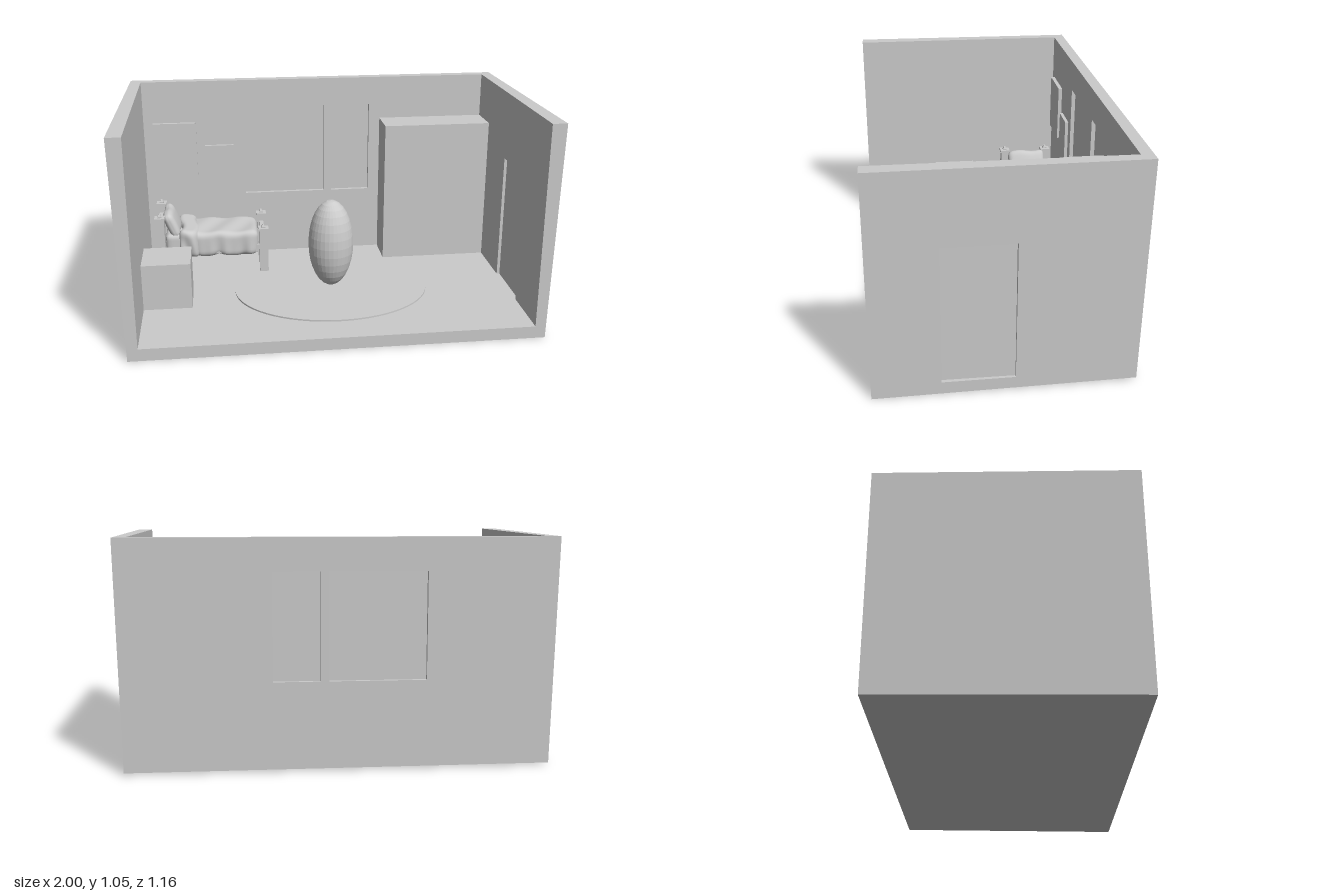
import * as THREE from 'three';
import { mergeVertices } from 'three/addons/utils/BufferGeometryUtils.js';

const flat = new THREE.MeshStandardMaterial({ color: 0xcccccc, flatShading: true });
const smooth = new THREE.MeshStandardMaterial({ color: 0xcccccc });

function add(parent, name, geometry, material = flat) {
  const mesh = new THREE.Mesh(geometry, material);
  mesh.name = name;
  parent.add(mesh);
  return mesh;
}

// Box given by its limits on each axis
function box(parent, name, [x0, x1], [y0, y1], [z0, z1]) {
  const g = new THREE.BoxGeometry(x1 - x0, y1 - y0, z1 - z0);
  g.translate((x0 + x1) / 2, (y0 + y1) / 2, (z0 + z1) / 2);
  return add(parent, name, g);
}

function rectPath(path, x0, x1, y0, y1) {
  path.moveTo(x0, y0).lineTo(x1, y0).lineTo(x1, y1).lineTo(x0, y1).closePath();
  return path;
}

// Upright slab with rectangular openings, extruded along z
function wall(x0, x1, height, depth, openings) {
  const shape = rectPath(new THREE.Shape(), x0, x1, 0, height);
  openings.forEach((o) => shape.holes.push(rectPath(new THREE.Path(), ...o)));
  return new THREE.ExtrudeGeometry(shape, { depth, bevelEnabled: false });
}

// Lean the outer faces of the room slightly; inner faces stay square
function skew(g) {
  const p = g.attributes.position;
  for (let i = 0; i < p.count; i++) {
    const x = p.getX(i), y = p.getY(i), z = p.getZ(i);
    if (Math.abs(x) > 0.95) {
      p.setX(i, Math.sign(x) * (0.965 + 0.02 * (y / 1.05) + 0.015 * ((z + 0.585) / 1.165)));
    }
    if (y < 0.001) p.setY(i, 0.01 * (0.58 - z) / 1.165);
    if (z < -0.56) p.setZ(i, -0.575 - 0.01 * (y / 1.05));
  }
  g.computeVertexNormals();
  return g;
}

// Rounded cushion-like block, its surface moved by an optional rule
function softBlock(w, h, d, r, rule = () => {}) {
  let g = new THREE.BoxGeometry(w, h, d, 28, 12, 24);
  g.deleteAttribute('normal');
  g.deleteAttribute('uv');
  g = mergeVertices(g);
  const p = g.attributes.position, v = new THREE.Vector3(), core = new THREE.Vector3();
  const lim = new THREE.Vector3(w / 2 - r, h / 2 - r, d / 2 - r);
  for (let i = 0; i < p.count; i++) {
    v.fromBufferAttribute(p, i);
    core.copy(v).clamp(lim.clone().negate(), lim);
    v.sub(core).setLength(r).add(core);
    rule(v);
    p.setXYZ(i, v.x, v.y, v.z);
  }
  g.computeVertexNormals();
  return g;
}

function buildRoom() {
  const room = new THREE.Group();
  room.name = 'room';
  const windows = [[-0.39, 0.05, 0.41, 0.9], [0.09, 0.3, 0.41, 0.9]];
  const back = wall(-0.98, 0.98, 1.05, 0.055, windows).translate(0, 0, -0.585);
  add(room, 'backWall', skew(back));
  const side = (openings, x) =>
    skew(wall(-0.58, 0.53, 1.05, 0.055, openings).rotateY(Math.PI / 2).translate(x, 0, 0));
  add(room, 'leftWall', side([[-0.28, 0.04, 0.06, 0.71]], 0.93));
  add(room, 'rightWall', side([], -0.985));
  const floor = new THREE.BoxGeometry(1.86, 0.06, 1.11).translate(0, 0.03, 0.025);
  add(room, 'floor', skew(floor));
  // Panes and door sit inside their openings
  windows.forEach(([x0, x1, y0, y1]) =>
    box(room, 'windowPane', [x0, x1], [y0, y1], [-0.562, -0.55]));
  box(room, 'door', [0.945, 0.96], [0.06, 0.71], [-0.04, 0.28]);
  return room;
}

function buildBed() {
  const bed = new THREE.Group();
  bed.name = 'bed';
  const cz = -0.355;

  // Four posts with stepped caps and small knobs
  for (const [x, top] of [[-0.855, 0.38], [-0.312, 0.3]]) {
    for (const z of [cz - 0.121, cz + 0.121]) {
      const post = new THREE.Group();
      post.name = 'bedPost';
      bed.add(post);
      const block = (name, half, y0, y1) =>
        box(post, name, [x - half, x + half], [y0, y1], [z - half, z + half]);
      block('postShaft', 0.023, 0.06, top);
      block('postCap', 0.027, top, top + 0.012);
      block('postNeck', 0.011, top + 0.012, top + 0.018);
      const knob = new THREE.CylinderGeometry(0.006, 0.014, 0.014, 4, 1);
      knob.rotateY(Math.PI / 4).translate(x, top + 0.023, z);
      add(post, 'postKnob', knob);
    }
  }
  // Frame
  box(bed, 'headboard', [-0.868, -0.843], [0.15, 0.34], [cz - 0.1, cz + 0.1]);
  box(bed, 'footboard', [-0.322, -0.302], [0.15, 0.27], [cz - 0.1, cz + 0.1]);
  for (const s of [-1, 1]) {
    const z = cz + s * 0.116;
    box(bed, 'sideRail', [-0.835, -0.33], [0.175, 0.215], [z - 0.008, z + 0.008]);
  }
  // Bedding
  const mattress = softBlock(0.49, 0.1, 0.225, 0.025).translate(-0.585, 0.235, cz);
  add(bed, 'mattress', mattress, smooth);

  const drape = (v) => {
    const low = Math.max(0, 0.5 - v.y / 0.14);
    v.z += Math.sign(v.z) * low * (0.006 * Math.sin(v.x * 55) + 0.004 * Math.sin(v.x * 95 + 1));
    v.y += 0.004 * Math.sin(v.x * 38 + v.z * 20) - 0.02 * (v.x + 0.18);
  };
  const blanket = softBlock(0.37, 0.135, 0.265, 0.03, drape).translate(-0.525, 0.23, cz);
  add(bed, 'blanket', blanket, smooth);

  const fold = softBlock(0.1, 0.15, 0.295, 0.03, (v) => {
    v.x += 0.012 * Math.sin(v.z * 22 + 0.6);
    v.z += Math.sign(v.z) * 0.006 * Math.sin(v.x * 60 + v.y * 25);
    v.y -= 0.15 * v.x;
  });
  add(bed, 'blanketFold', fold.translate(-0.705, 0.238, cz), smooth);

  // Pillow leans on the headboard, pinched towards its corners
  const pillow = softBlock(0.06, 0.135, 0.21, 0.025, (v) => {
    v.x *= 1.1 - 22 * v.z * v.z - 45 * v.y * v.y;
    v.y += 0.004 * Math.sin(v.z * 40);
  });
  add(bed, 'pillow', pillow.rotateZ(0.4).translate(-0.795, 0.33, cz), smooth);
  return bed;
}

export function createModel() {
  const model = new THREE.Group();
  model.name = 'bedroom';
  model.add(buildRoom(), buildBed());

  // Furniture and wall pictures
  box(model, 'wardrobe', [0.36, 0.93], [0.06, 0.82], [-0.53, -0.34]);
  box(model, 'chest', [-0.93, -0.69], [0.06, 0.295], [-0.05, 0.18]);
  box(model, 'largePicture', [-0.88, -0.65], [0.53, 0.825], [-0.53, -0.51]);
  box(model, 'smallPicture', [-0.605, -0.45], [0.49, 0.695], [-0.53, -0.513]);

  // Oval rug and the egg-shaped figure above it
  const rug = new THREE.CylinderGeometry(1, 1, 0.012, 64).scale(0.495, 1, 0.395);
  add(model, 'rug', rug.translate(0.02, 0.062, 0.02));
  const egg = new THREE.SphereGeometry(1, 32, 16).scale(0.115, 0.23, 0.115);
  add(model, 'standingFigure', egg.translate(0.02, 0.31, 0.02));
  return model;
}
